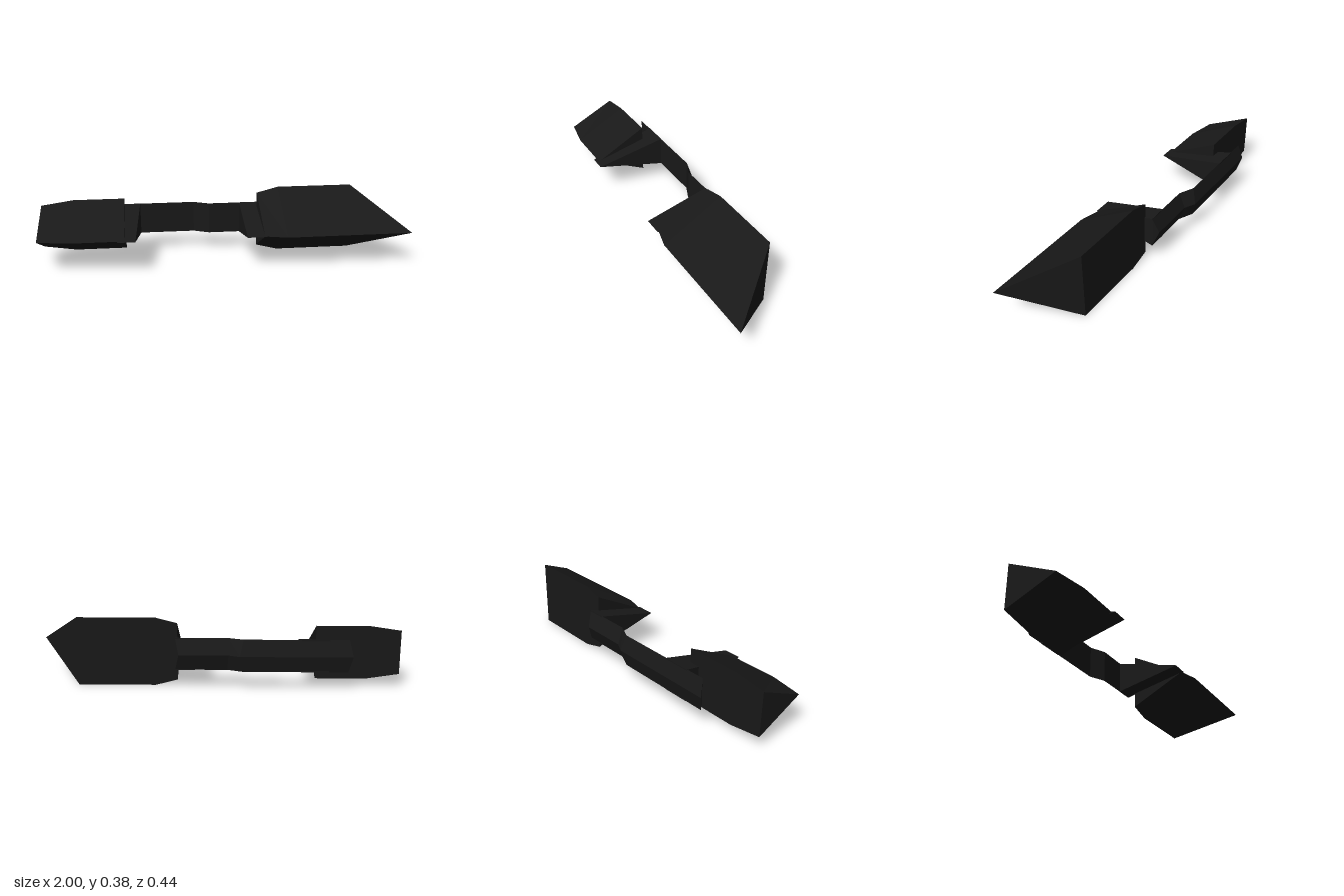
import * as THREE from 'three';

const MID_Y = 0.188;

// Lofts triangular sections in order of rising x.
// Section: [base x, apex x, base z, apex z, half height of base]
function triangularLoft(name, sections, material) {
  const rings = sections.map(([xb, xa, zb, za, h]) => {
    const top = [xb, MID_Y + h, zb];
    const bottom = [xb, MID_Y - h, zb];
    const apex = [xa, MID_Y, za];
    return za > zb ? [top, apex, bottom] : [top, bottom, apex];
  });
  const points = [];
  const tri = (a, b, c) => points.push(...a, ...b, ...c);
  for (let i = 0; i < rings.length - 1; i++) {
    for (let j = 0; j < 3; j++) {
      const k = (j + 1) % 3;
      const a = rings[i], b = rings[i + 1];
      tri(a[j], a[k], b[k]);
      tri(a[j], b[k], b[j]);
    }
  }
  // End caps
  const first = rings[0], last = rings[rings.length - 1];
  tri(first[0], first[2], first[1]);
  tri(last[0], last[1], last[2]);

  const geometry = new THREE.BufferGeometry();
  geometry.setAttribute('position', new THREE.Float32BufferAttribute(points, 3));
  geometry.computeVertexNormals();
  const mesh = new THREE.Mesh(geometry, material);
  mesh.name = name;
  return mesh;
}

export function createModel() {
  const black = new THREE.MeshStandardMaterial({ color: 0x191919 });
  black.name = 'black';
  const model = new THREE.Group();
  model.name = 'wedgeAssembly';

  // Large wedge body with a tapered inner end and a slanted tip
  model.add(triangularLoft('largeWedge', [
    [0.2, 0.2, -0.111, 0.19, 0.157],
    [0.32, 0.32, -0.111, 0.222, 0.188],
    [0.74, 1.0, -0.111, 0.222, 0.188],
  ], black));

  // Small wedge body with a tapered outer end
  model.add(triangularLoft('smallWedge', [
    [-1.0, -1.0, -0.115, 0.15, 0.12],
    [-0.825, -0.825, -0.115, 0.182, 0.146],
    [-0.545, -0.545, -0.115, 0.182, 0.146],
  ], black));

  // Pointed posts that carry the two bodies
  model.add(triangularLoft('largeWedgePost', [
    [0.105, 0.105, -0.16, 0.2, 0.088],
    [0.21, 0.21, -0.16, 0.2, 0.088],
  ], black));
  model.add(triangularLoft('smallWedgePost', [
    [-0.608, -0.58, -0.2, 0.2, 0.088],
    [-0.46, -0.487, -0.2, 0.2, 0.088],
  ], black));

  // Ridged rear strap with a step in the middle
  model.add(triangularLoft('rearStrap', [
    [-0.71, -0.73, -0.198, -0.223, 0.088],
    [-0.155, -0.135, -0.198, -0.223, 0.088],
    [-0.07, -0.075, -0.158, -0.191, 0.088],
    [0.21, 0.19, -0.158, -0.191, 0.088],
  ], black));

  return model;
}
